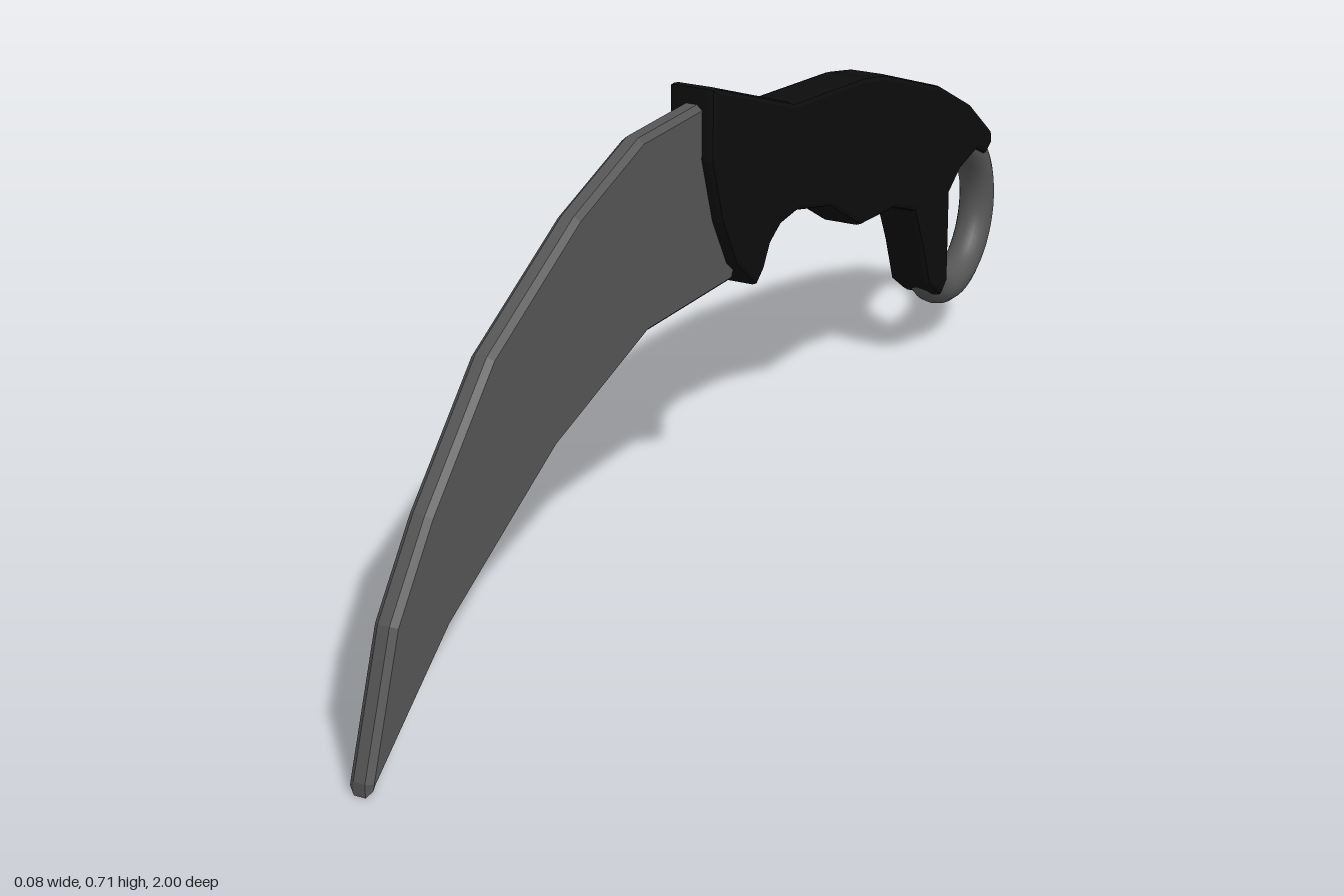
import * as THREE from 'three';

// Side outlines as [z, y] points
const BLADE = [
  [1.0, 0.0], [0.985, 0.01], [0.8, 0.16], [0.52, 0.31], [0.26, 0.39], [0.0, 0.385],
  [-0.02, 0.42], [-0.02, 0.6], [0.07, 0.688], [0.27, 0.686], [0.45, 0.625], [0.68, 0.5], [0.84, 0.335],
  [0.93, 0.215], [1.0, 0.02],
];
const HANDLE = [
  [0.095, 0.713], [0.098, 0.605], [0.065, 0.5], [0.02, 0.42], [-0.045, 0.367],
  [-0.068, 0.385], [-0.09, 0.42], [-0.125, 0.44], [-0.18, 0.445], [-0.3, 0.415],
  [-0.41, 0.35], [-0.54, 0.34], [-0.625, 0.308], [-0.66, 0.235], [-0.69, 0.155],
  [-0.74, 0.12], [-0.765, 0.14], [-0.765, 0.3], [-0.81, 0.33], [-0.88, 0.345],
  [-0.92, 0.325], [-0.945, 0.34], [-0.942, 0.362], [-0.845, 0.437], [-0.72, 0.502],
  [-0.5, 0.58], [-0.42, 0.597], [-0.17, 0.622], [0.085, 0.714],
];

// Plate with bevelled edges, cut from a side outline and centred on x = 0
function plate(points, halfWidth, bevelThickness, bevelSize, bevelSegments) {
  const shape = new THREE.Shape(points.map(([z, y]) => new THREE.Vector2(z, y)));
  const depth = 2 * (halfWidth - bevelThickness);
  const geometry = new THREE.ExtrudeGeometry(shape, {
    depth, bevelEnabled: true, bevelThickness, bevelSize, bevelOffset: -bevelSize, bevelSegments,
  });
  geometry.translate(0, 0, -depth / 2);
  return geometry.rotateY(-Math.PI / 2);
}

export function createModel() {
  const steel = new THREE.MeshStandardMaterial({ color: 0x555555 });
  steel.name = 'steel grey';
  const grip = new THREE.MeshStandardMaterial({ color: 0x0d0d0d });
  grip.name = 'grip black';

  const group = new THREE.Group();
  const add = (name, geometry, material) => {
    const mesh = new THREE.Mesh(geometry, material);
    mesh.name = name;
    group.add(mesh);
    return mesh;
  };

  // Curved blade with chamfered edges
  add('blade', plate(BLADE, 0.018, 0.009, 0.008, 1), steel);

  // Contoured handle with finger grooves
  add('handle', plate(HANDLE, 0.038, 0.01, 0.008, 2), grip);

  // Finger ring at the end of the handle
  const ring = add('fingerRing', new THREE.TorusGeometry(0.126, 0.031, 14, 48).rotateY(-Math.PI / 2), steel);
  ring.position.set(0, 0.23, -0.843);

  return group;
}
